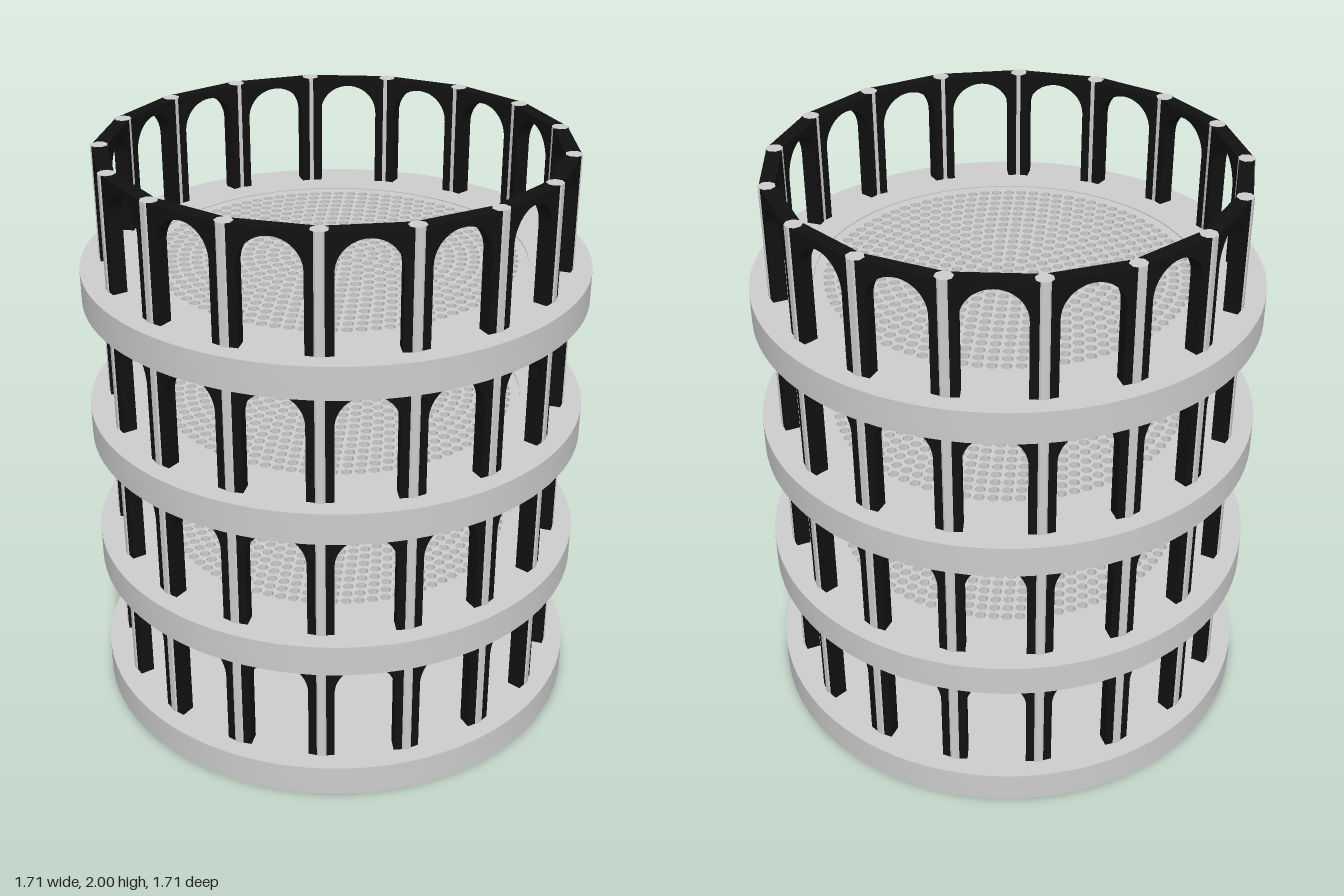
import * as THREE from 'three';
import { toCreasedNormals } from 'three/addons/utils/BufferGeometryUtils.js';

const LEVELS = 4, STOREY = 0.5, SLAB = 0.11, WALL = STOREY - SLAB;
const SIDES = 17, WALL_R = 0.768, STEP = (Math.PI * 2) / SIDES;
const OUTER_R = 0.856, INNER_R = 0.645;

// Extrude a plan shape upwards from y = 0
function extrudeUp(shape, height, curveSegments) {
  const geo = new THREE.ExtrudeGeometry(shape, { depth: height, bevelEnabled: false, curveSegments });
  return geo.rotateX(-Math.PI / 2);
}

function circlePoints(cx, cy, r, n, clockwise) {
  const pts = [];
  for (let i = 0; i < n; i++) {
    const a = (i / n) * Math.PI * 2 * (clockwise ? -1 : 1);
    pts.push(new THREE.Vector2(cx + r * Math.cos(a), cy + r * Math.sin(a)));
  }
  return pts;
}

// Ring-shaped floor slab
function slabGeometry() {
  const shape = new THREE.Shape(circlePoints(0, 0, OUTER_R, 96));
  shape.holes.push(new THREE.Path(circlePoints(0, 0, INNER_R, 96, true)));
  return toCreasedNormals(extrudeUp(shape, SLAB), 0.5);
}

// Round plate pierced by concentric rings of small holes
function grilleGeometry(height) {
  const shape = new THREE.Shape(circlePoints(0, 0, INNER_R, 96));
  const pitch = 0.0425, rings = 14;
  for (let k = 0; k <= rings; k++) {
    const count = k === 0 ? 1 : k * 6;
    for (let i = 0; i < count; i++) {
      const a = (i / count) * Math.PI * 2;
      const x = k * pitch * Math.cos(a), y = k * pitch * Math.sin(a);
      shape.holes.push(new THREE.Path(circlePoints(x, y, 0.0185, 8, true)));
    }
  }
  return extrudeUp(shape, height);
}

// Straight wall panel with a round-headed opening down to the floor
function archGeometry() {
  const half = WALL_R * Math.sin(STEP / 2) - 0.012;
  const top = WALL - 0.001, r = 0.101, spring = 0.263, depth = 0.05;
  const shape = new THREE.Shape();
  shape.moveTo(-half, 0);
  shape.lineTo(-r, 0);
  shape.lineTo(-r, spring);
  shape.absarc(0, spring, r, Math.PI, 0, true);
  shape.lineTo(r, 0);
  shape.lineTo(half, 0);
  shape.lineTo(half, top);
  shape.lineTo(-half, top);
  shape.closePath();
  const geo = new THREE.ExtrudeGeometry(shape, { depth, bevelEnabled: false, curveSegments: 12 });
  return toCreasedNormals(geo.translate(0, 0, -depth / 2), 0.5);
}

export function createModel() {
  const stone = new THREE.MeshStandardMaterial({ color: 0xcccccc });
  stone.name = 'pale grey stone';
  const dark = new THREE.MeshStandardMaterial({ color: 0x111111 });
  dark.name = 'black arch';

  const plateH = SLAB - 0.004;
  const slabGeo = slabGeometry();
  const grilleGeo = grilleGeometry(plateH);
  const baseGeo = new THREE.CylinderGeometry(INNER_R, INNER_R, plateH, 96).translate(0, plateH / 2, 0);
  const archGeo = archGeometry();
  const columnGeo = toCreasedNormals(
    new THREE.CylinderGeometry(0.029, 0.029, WALL, 8).translate(0, WALL / 2, 0), 0.5);

  const model = new THREE.Group();
  model.name = 'arcadedTower';

  const add = (parent, name, geo, mat) => {
    const mesh = new THREE.Mesh(geo, mat);
    mesh.name = name;
    parent.add(mesh);
    return mesh;
  };

  for (let level = 0; level < LEVELS; level++) {
    const storey = new THREE.Group();
    storey.name = 'storey' + (level + 1);
    storey.position.y = level * STOREY;
    model.add(storey);

    add(storey, 'floorRing', slabGeo, stone);
    if (level === 0) add(storey, 'basePlate', baseGeo, stone);
    else add(storey, 'floorGrille', grilleGeo, stone);

    // Columns at the corners, arches between them; one column sits at the back
    for (let i = 0; i < SIDES; i++) {
      const a = i * STEP, b = a + STEP / 2;
      const column = add(storey, 'column', columnGeo, stone);
      column.position.set(WALL_R * Math.sin(a), SLAB, -WALL_R * Math.cos(a));
      column.rotation.y = Math.PI - a + Math.PI / 8;

      const apothem = WALL_R * Math.cos(STEP / 2);
      const arch = add(storey, 'arch', archGeo, dark);
      arch.position.set(apothem * Math.sin(b), SLAB, -apothem * Math.cos(b));
      arch.rotation.y = Math.PI - b;
    }
  }
  return model;
}
